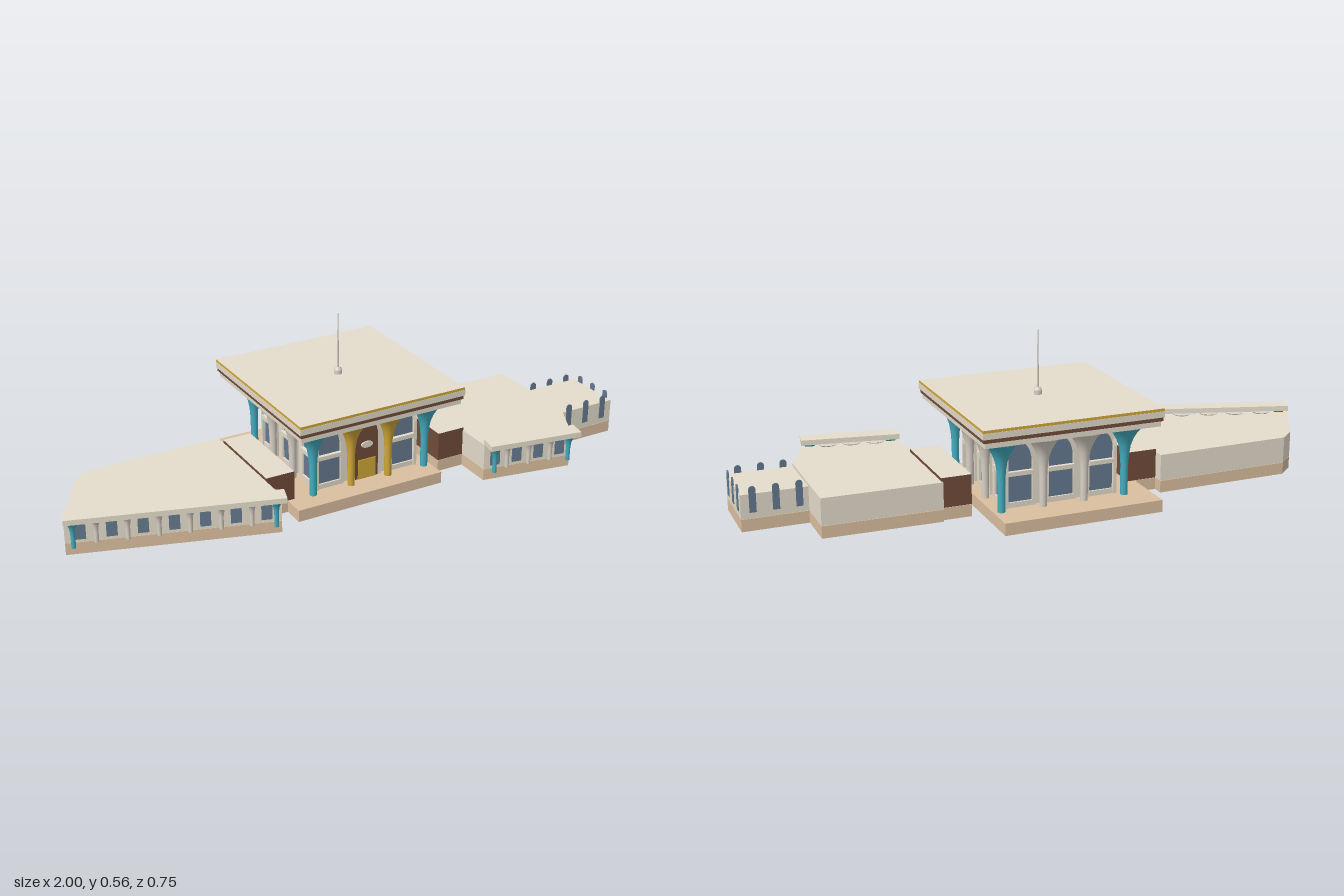
import * as THREE from 'three';

const paint = (name, color, side = THREE.FrontSide) => {
  const m = new THREE.MeshStandardMaterial({ color, side });
  m.name = name;
  return m;
};
const M = {
  cream: paint('cream wall', 0xe4dccb),
  stone: paint('column stone', 0xd8d1c6),
  tan: paint('tan plinth', 0xdbbf9f, THREE.DoubleSide),
  glass: paint('blue grey glass', 0x667a8f),
  teal: paint('teal', 0x44adc0),
  gold: paint('gold', 0xd2a838),
  brown: paint('brown', 0x704c3a),
};
const FLOOR = 0.041; // everything stands just above the plinth tops

function add(parent, name, geometry, material, x = 0, y = 0, z = 0) {
  const mesh = new THREE.Mesh(geometry, material);
  mesh.name = name;
  mesh.position.set(x, y, z);
  parent.add(mesh);
  return mesh;
}

function group(parent, name, x = 0, y = 0, z = 0, turn = 0) {
  const g = new THREE.Group();
  g.name = name;
  g.position.set(x, y, z);
  g.rotation.y = turn;
  parent.add(g);
  return g;
}

// Box given by its limits
function block(parent, name, material, x0, x1, y0, y1, z0, z1) {
  return add(parent, name, new THREE.BoxGeometry(x1 - x0, y1 - y0, z1 - z0), material,
    (x0 + x1) / 2, (y0 + y1) / 2, (z0 + z1) / 2);
}

// Box sides in one colour with a cream top face
const creamTop = (side) => [side, side, M.cream, side, side, side];

const planShape = (plan) => new THREE.Shape(plan.map(([x, z]) => new THREE.Vector2(x, -z)));
const rect = (x0, x1, z0, z1) => [[x0, z0], [x0, z1], [x1, z1], [x1, z0]];

// Hollow plinth, open underneath: a flat top with a skirt around the plan
function plinth(parent, name, plan) {
  const h = 0.04;
  add(parent, name + 'Top', new THREE.ShapeGeometry(planShape(plan)).rotateX(-Math.PI / 2), M.tan, 0, h, 0);
  const pos = [];
  plan.forEach(([ax, az], i) => {
    const [bx, bz] = plan[(i + 1) % plan.length];
    pos.push(ax, 0, az, bx, 0, bz, bx, h, bz, ax, 0, az, bx, h, bz, ax, h, az);
  });
  const skirt = new THREE.BufferGeometry();
  skirt.setAttribute('position', new THREE.Float32BufferAttribute(pos, 3));
  skirt.computeVertexNormals();
  add(parent, name + 'Skirt', skirt, M.tan);
}

// Pointed arch outline
function archPath(Type, w, y0, spring, peak) {
  const p = new Type();
  const cy = spring + (peak - spring) * 0.78;
  p.moveTo(-w, y0);
  p.lineTo(w, y0);
  p.lineTo(w, spring);
  p.quadraticCurveTo(w * 0.85, cy, 0, peak);
  p.quadraticCurveTo(-w * 0.85, cy, -w, spring);
  p.closePath();
  return p;
}

const extrude = (shape, depth) =>
  new THREE.ExtrudeGeometry(shape, { depth, bevelEnabled: false, curveSegments: 8 });

// Flared column: slim shaft opening into a trumpet
function columnGeometry(y0, y1, shaft, top) {
  const h = y1 - y0;
  const flare = [[0, 0], [0.42, 0.01], [0.56, 0.05], [0.68, 0.13], [0.78, 0.28], [0.87, 0.5], [0.94, 0.75], [1, 1]];
  const pts = flare.map(([t, k]) => new THREE.Vector2(shaft + (top - shaft) * k, y0 + h * t));
  pts.push(new THREE.Vector2(0, y1));
  return new THREE.LatheGeometry(pts, 24);
}

// Main hall with four arcaded sides under a layered roof
function buildHall(root) {
  plinth(root, 'hallPlinth', rect(-0.27, 0.265, -0.376, 0.21));
  const hall = group(root, 'hall', 0.03, 0, -0.07);
  const half = 0.18;
  block(hall, 'hallWalls', M.cream, -half, half, FLOOR, 0.283, -half, half);

  const frame = archPath(THREE.Shape, 0.054, FLOOR, 0.2, 0.282);
  frame.holes.push(archPath(THREE.Path, 0.042, 0.058, 0.195, 0.256));
  const frameGeo = extrude(frame, 0.009);
  const paneGeo = extrude(archPath(THREE.Shape, 0.043, 0.056, 0.195, 0.258), 0.003);
  const doorPanelGeo = extrude(archPath(THREE.Shape, 0.043, FLOOR, 0.195, 0.258), 0.004);

  for (let side = 0; side < 4; side++) {
    const face = group(hall, 'facade', 0, 0, 0, side * Math.PI / 2);
    for (let i = -1; i <= 1; i++) {
      const bay = group(face, 'archBay', i * 0.14, 0, half);
      add(bay, 'archFrame', frameGeo, M.cream);
      if (side === 0 && i === 0) {
        add(bay, 'doorPanel', doorPanelGeo, M.brown, 0, 0, 0.006);
        block(bay, 'door', M.gold, -0.033, 0.033, FLOOR, 0.11, 0.005, 0.013);
        const plaque = add(bay, 'plaque', new THREE.CylinderGeometry(0.022, 0.022, 0.006, 20), M.cream, 0, 0.163, 0.012);
        plaque.rotation.x = Math.PI / 2;
        plaque.scale.z = 0.5;
      } else {
        add(bay, 'archWindow', paneGeo, M.glass);
        block(bay, 'transom', M.cream, -0.044, 0.044, 0.146, 0.16, 0, 0.016);
      }
    }
  }

  // Ring of twelve columns: teal corners, gold entrance pair, stone elsewhere
  const geo = columnGeometry(FLOOR, 0.283, 0.012, 0.07);
  for (let i = 0; i < 4; i++) for (let j = 0; j < 4; j++) {
    const edgeX = i % 3 === 0, edgeZ = j % 3 === 0;
    if (!edgeX && !edgeZ) continue;
    const mat = edgeX && edgeZ ? M.teal : j === 3 ? M.gold : M.stone;
    add(hall, 'hallColumn', geo, mat, -0.21 + i * 0.14, 0, -0.21 + j * 0.14);
  }

  // Roof layers
  const layer = (name, mat, r, y0, y1) => block(hall, name, mat, -r, r, y0, y1, -r, r);
  layer('roofSoffit', M.cream, 0.294, 0.282, 0.3);
  layer('roofBrownBand', M.brown, 0.299, 0.3, 0.313);
  layer('roofFascia', M.cream, 0.303, 0.313, 0.333);
  layer('roofGoldBand', creamTop(M.gold), 0.302, 0.333, 0.342);

  // Mast
  const mast = (name, top, bottom, y0, y1) =>
    add(hall, name, new THREE.CylinderGeometry(top, bottom, y1 - y0, 8), M.stone, 0, (y0 + y1) / 2, 0);
  mast('mastBase', 0.014, 0.014, 0.341, 0.356);
  mast('mastCollar', 0.008, 0.014, 0.356, 0.365);
  mast('mastSpire', 0.0015, 0.004, 0.365, 0.555);
}

// Polygonal wing body from plan corners [x, z]
function buildWing(root, name, plan) {
  const wing = group(root, name);
  plinth(wing, 'wingPlinth', plan);
  add(wing, 'wingWalls', extrude(planShape(plan), 0.13 - FLOOR).rotateX(-Math.PI / 2), M.cream, 0, FLOOR, 0);
  return wing;
}

// Slanted arcade along a wall from a to b
function buildArcade(wing, a, b, bays) {
  const dx = b[0] - a[0], dz = b[1] - a[1];
  const len = Math.hypot(dx, dz), step = len / bays;
  const g = group(wing, 'arcade', a[0], 0, a[1], -Math.atan2(dz, dx));
  block(g, 'arcadeCanopy', M.cream, -0.002, len + 0.008, 0.134, 0.152, 0, 0.06);
  const endGeo = columnGeometry(0.04, 0.135, 0.007, 0.025);
  const midGeo = columnGeometry(FLOOR, 0.135, 0.007, 0.036);
  const windowGeo = extrude(archPath(THREE.Shape, 0.017, 0.052, 0.098, 0.123), 0.004);
  for (const u of [0.025, len - 0.022]) add(g, 'arcadeEndColumn', endGeo, M.teal, u, 0, 0.03);
  for (let i = 0; i < bays; i++) {
    add(g, 'arcadeWindow', windowGeo, M.glass, (i + 0.5) * step, 0, 0);
    if (i) add(g, 'arcadeColumn', midGeo, M.stone, i * step, 0, 0.01);
  }
}

// Small end block with flat round-topped fins on its three free sides
function buildAnnex(root) {
  const annex = group(root, 'annex');
  const x0 = 0.78, x1 = 0.998, z0 = -0.036, z1 = 0.174;
  plinth(annex, 'annexPlinth', rect(x0, x1, z0, z1));
  block(annex, 'annexWalls', M.cream, x0, x1, FLOOR, 0.12, z0, z1);
  const s = new THREE.Shape();
  s.moveTo(-0.011, 0.06);
  s.lineTo(0.011, 0.06);
  s.lineTo(0.011, 0.134);
  s.absarc(0, 0.134, 0.011, 0, Math.PI, false);
  s.closePath();
  const fin = extrude(s, 0.004).translate(0, 0, -0.002);
  for (let i = -1; i <= 1; i++) {
    add(annex, 'fin', fin, M.glass, 0.887 + i * 0.073, 0, z1);
    add(annex, 'fin', fin, M.glass, 0.887 + i * 0.073, 0, z0);
    add(annex, 'fin', fin, M.glass, x1, 0, 0.07 + i * 0.07).rotation.y = Math.PI / 2;
  }
}

export function createModel() {
  const root = new THREE.Group();
  root.name = 'pavilion';
  buildHall(root);

  // Links between hall and wings
  for (const x of [-0.295, 0.35]) {
    plinth(root, 'linkPlinth', rect(x - 0.05, x + 0.05, -0.178, 0.135));
    block(root, 'link', creamTop(M.brown), x - 0.05, x + 0.05, FLOOR, 0.14, -0.178, 0.135);
  }

  const longA = [-0.982, 0.04], longB = [-0.345, 0.24];
  const longWing = buildWing(root, 'longWing',
    [[-0.345, -0.215], [-0.815, -0.21], [-0.87, -0.16], longA, longB]);
  buildArcade(longWing, longA, longB, 7);

  const shortA = [0.397, 0.264], shortB = [0.71, 0.318];
  const shortWing = buildWing(root, 'shortWing',
    [[0.397, -0.19], shortA, shortB, [0.785, 0.17], [0.785, -0.182]]);
  buildArcade(shortWing, shortA, shortB, 4);

  buildAnnex(root);
  return root;
}
